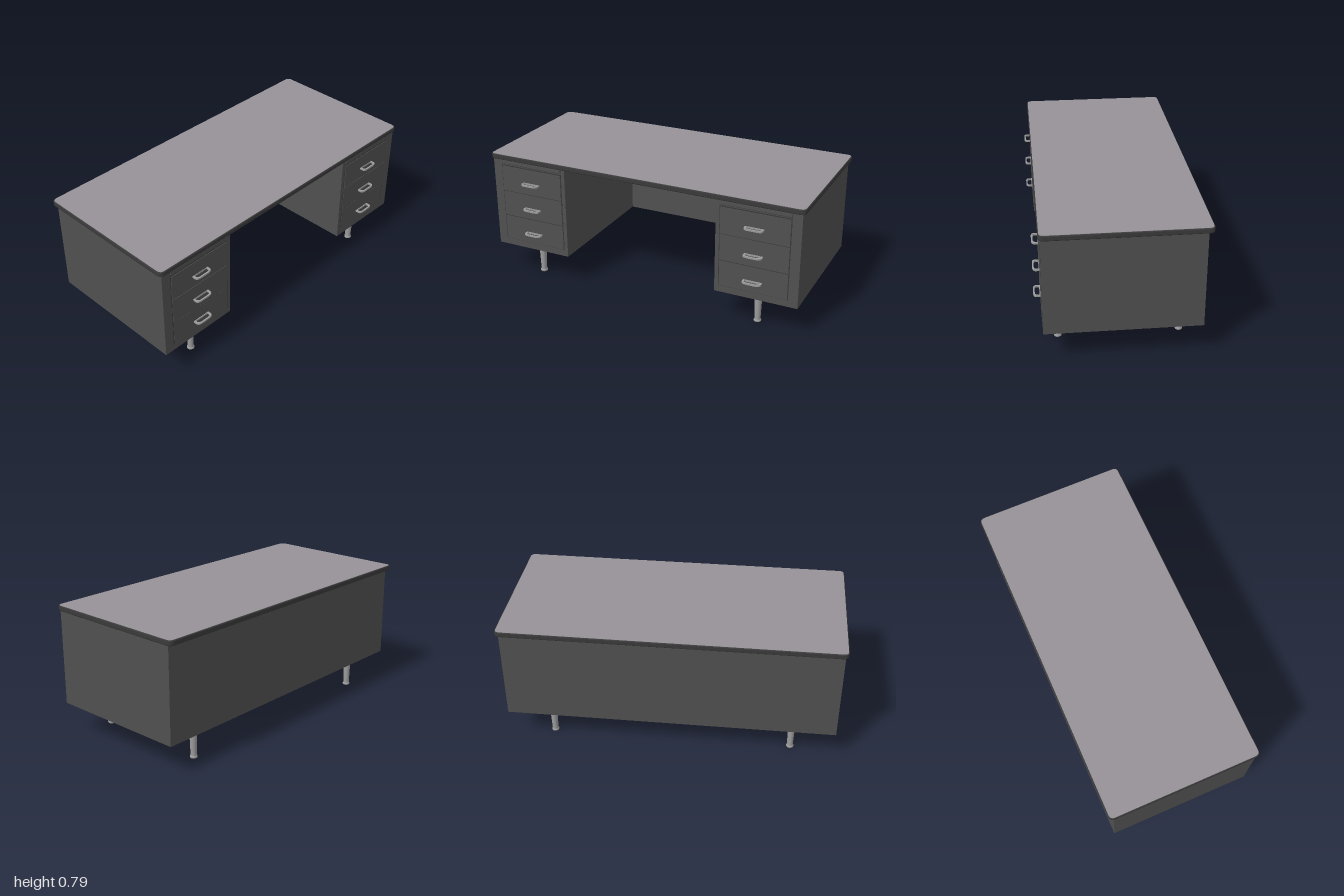
import * as THREE from 'three';

const mat = (name, color) => Object.assign(new THREE.MeshStandardMaterial({ color }), { name });

// Rounded rectangle outline centred on the origin
function roundedRect(w, d, r) {
  const s = new THREE.Shape(), x = w / 2, y = d / 2;
  s.moveTo(-x + r, -y);
  s.lineTo(x - r, -y).quadraticCurveTo(x, -y, x, -y + r);
  s.lineTo(x, y - r).quadraticCurveTo(x, y, x - r, y);
  s.lineTo(-x + r, y).quadraticCurveTo(-x, y, -x, y - r);
  s.lineTo(-x, -y + r).quadraticCurveTo(-x, -y, -x + r, -y);
  return s;
}

// D-shaped outline for a drawer pull, reaching forward from the drawer
function pullOutline(PathType, halfWidth, back, front, r) {
  const p = new PathType();
  p.moveTo(-halfWidth, back);
  p.lineTo(halfWidth, back);
  p.lineTo(halfWidth, front - r);
  p.quadraticCurveTo(halfWidth, front, halfWidth - 1.6 * r, front);
  p.lineTo(-halfWidth + 1.6 * r, front);
  p.quadraticCurveTo(-halfWidth, front, -halfWidth, front - r);
  p.closePath();
  return p;
}

export function createModel() {
  const desk = new THREE.Group();
  desk.name = 'desk';

  const steel = mat('dark grey steel', 0x505050);
  const topGrey = mat('grey laminate', 0x969297);
  const trim = mat('black trim', 0x3a3a3a);
  const metal = mat('brushed metal', 0x9c9c9c);

  const add = (parent, name, geometry, material, x = 0, y = 0, z = 0) => {
    const mesh = new THREE.Mesh(geometry, material);
    mesh.name = name;
    mesh.position.set(x, y, z);
    parent.add(mesh);
    return mesh;
  };
  // Box given by its lower and upper limits
  const box = (parent, name, material, x0, x1, y0, y1, z0, z1) =>
    add(parent, name, new THREE.BoxGeometry(x1 - x0, y1 - y0, z1 - z0), material,
      (x0 + x1) / 2, (y0 + y1) / 2, (z0 + z1) / 2);

  // Worktop: rounded dark edge with a thin laminate surface
  const b = 0.007;
  const edge = new THREE.ExtrudeGeometry(roundedRect(2 - 2 * b, 0.914 - 2 * b, 0.025), {
    depth: 0.032 - 2 * b, bevelEnabled: true, bevelSize: b, bevelThickness: b,
    bevelSegments: 3, curveSegments: 6,
  });
  edge.rotateX(-Math.PI / 2);
  add(desk, 'worktopEdge', edge, trim, 0, 0.755 + b, -0.015);
  const surface = new THREE.ExtrudeGeometry(roundedRect(1.99, 0.904, 0.028), {
    depth: 0.002, bevelEnabled: false, curveSegments: 6,
  });
  surface.rotateX(-Math.PI / 2);
  add(desk, 'worktopSurface', surface, topGrey, 0, 0.786, -0.015);

  // Back panel across the knee space
  box(desk, 'backPanel', steel, -0.486, 0.486, 0.187, 0.756, -0.44, -0.42);

  // Drawer pull: flat bowed loop
  const pullShape = pullOutline(THREE.Shape, 0.056, 0.428, 0.472, 0.02);
  pullShape.holes.push(pullOutline(THREE.Path, 0.046, 0.437, 0.463, 0.015));
  const pull = new THREE.ExtrudeGeometry(pullShape, { depth: 0.01, bevelEnabled: false, curveSegments: 6 });
  pull.rotateX(Math.PI / 2);

  // Tapered leg with a small foot collar
  const leg = new THREE.LatheGeometry([
    [0, 0], [0.018, 0], [0.022, 0.004], [0.022, 0.011], [0.018, 0.015],
    [0.0175, 0.017], [0.023, 0.184],
  ].map(([r, y]) => new THREE.Vector2(r, y)), 20);

  const drawers = [
    { y0: 0.555, y1: 0.715, front: 0.435, pullY: 0.625 },
    { y0: 0.392, y1: 0.549, front: 0.434, pullY: 0.46 },
    { y0: 0.23, y1: 0.386, front: 0.4325, pullY: 0.296 },
  ];

  for (const side of [-1, 1]) {
    const pedestal = new THREE.Group();
    pedestal.name = side < 0 ? 'rightPedestal' : 'leftPedestal';
    desk.add(pedestal);
    const c = side * 0.718;

    box(pedestal, 'cabinet', steel, side * 0.735 - 0.249, side * 0.735 + 0.249, 0.187, 0.756, -0.44, 0.43);
    // Dark reveal behind the drawers and the pull-out board
    box(pedestal, 'drawerReveal', trim, c - 0.209, c + 0.209, 0.228, 0.722, 0.426, 0.431);
    box(pedestal, 'pullOutBoard', steel, c - 0.207, c + 0.207, 0.732, 0.752, 0.42, 0.436);
    box(pedestal, 'boardReveal', trim, c - 0.209, c + 0.209, 0.727, 0.755, 0.426, 0.431);

    for (const d of drawers) {
      box(pedestal, 'drawerFront', steel, c - 0.204, c + 0.204, d.y0, d.y1, 0.42, d.front);
      add(pedestal, 'drawerPull', pull, metal, c, d.pullY + 0.005, 0);
    }

    // Legs and their mounting plates
    for (const z of [0.343, -0.35]) {
      add(pedestal, 'leg', leg, metal, side * 0.725, 0, z);
      box(pedestal, 'legPlate', metal, side * 0.725 - 0.047, side * 0.725 + 0.047,
        0.182, 0.188, z - 0.047, z + 0.047);
    }
  }
  return desk;
}
